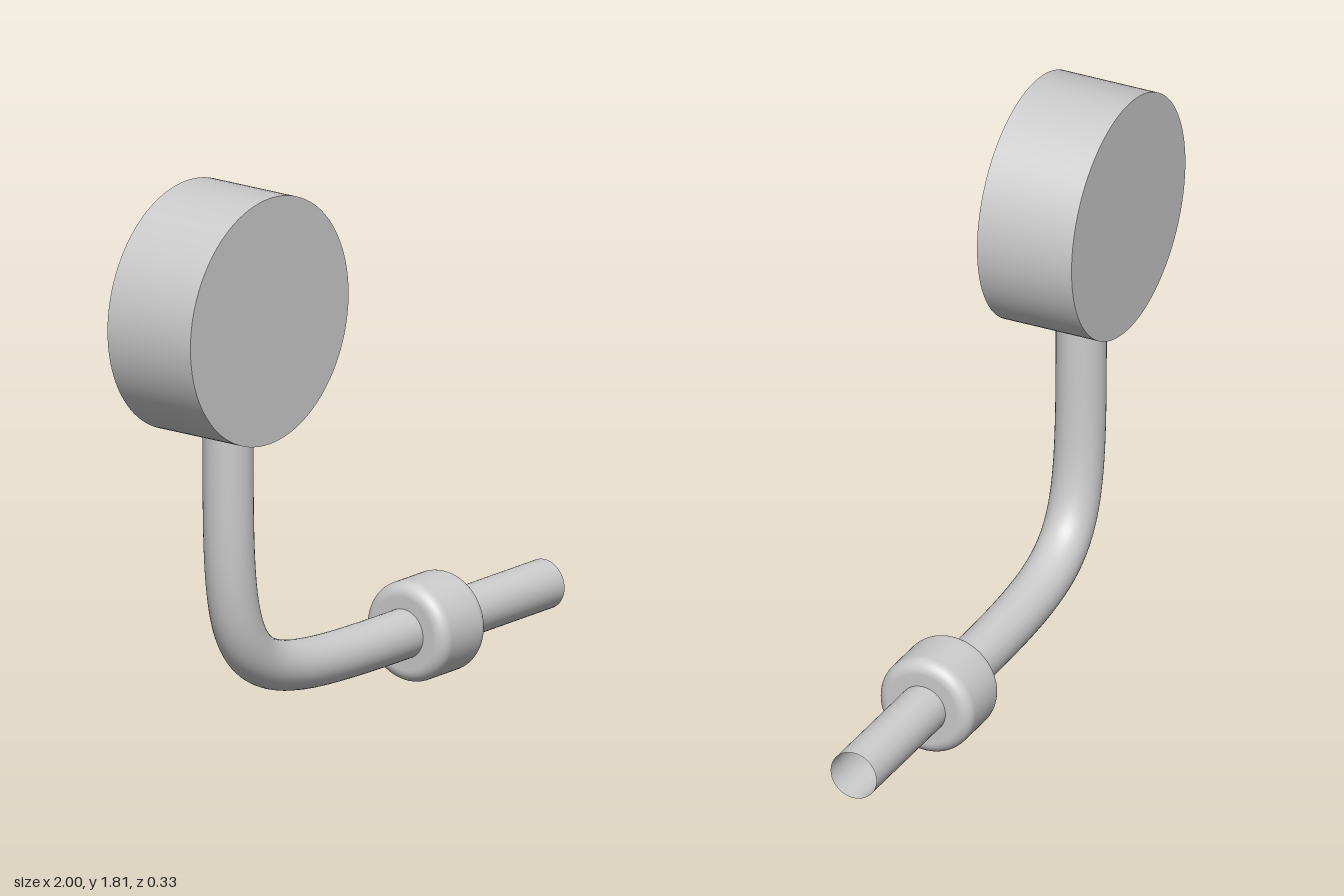
import * as THREE from 'three';

const PIPE_R = 0.08, AXIS_Y = 0.163;
const GAUGE = { x: -0.6, y: 1.412, r: 0.4, depth: 0.33 };

export function createModel() {
  const model = new THREE.Group();
  const grey = new THREE.MeshStandardMaterial({ color: 0xcccccc });
  const thin = new THREE.MeshStandardMaterial({ color: 0xcccccc, side: THREE.DoubleSide });

  const add = (name, geometry, material, x, y, z = 0) => {
    const mesh = new THREE.Mesh(geometry, material);
    mesh.name = name;
    mesh.position.set(x, y, z);
    model.add(mesh);
    return mesh;
  };

  // Round gauge housing, facing forward, with a flush dial
  const housing = new THREE.CylinderGeometry(GAUGE.r, GAUGE.r, GAUGE.depth, 96);
  housing.rotateX(Math.PI / 2);
  add('gaugeHousing', housing, grey, GAUGE.x, GAUGE.y);
  add('gaugeDial', new THREE.CircleGeometry(0.36, 64), grey, GAUGE.x, GAUGE.y, GAUGE.depth / 2 + 0.0005);

  // Pipe bending from the gauge down to the fitting
  const bend = new THREE.CubicBezierCurve3(
    new THREE.Vector3(GAUGE.x, 1.025, 0),
    new THREE.Vector3(GAUGE.x, AXIS_Y, 0),
    new THREE.Vector3(GAUGE.x, AXIS_Y, 0),
    new THREE.Vector3(0.4, AXIS_Y, 0)
  );
  add('bentPipe', new THREE.TubeGeometry(bend, 96, PIPE_R, 40), thin, 0, 0);

  // Straight open-ended outlet pipe
  const outlet = new THREE.CylinderGeometry(PIPE_R, PIPE_R, 0.6, 40, 1, true);
  outlet.rotateZ(-Math.PI / 2);
  add('outletPipe', outlet, thin, 0.7, AXIS_Y);

  // Coupling nut with rounded rims, turned around the pipe axis
  const r = 0.162, half = 0.115, round = 0.042;
  const profile = new THREE.Path();
  profile.moveTo(0, -half);
  profile.lineTo(r - round, -half);
  profile.absarc(r - round, -half + round, round, -Math.PI / 2, 0, false);
  profile.lineTo(r, half - round);
  profile.absarc(r - round, half - round, round, 0, Math.PI / 2, false);
  profile.lineTo(0, half);
  const nut = new THREE.LatheGeometry(profile.getPoints(10), 64);
  nut.rotateZ(-Math.PI / 2);
  add('couplingNut', nut, grey, 0.4, AXIS_Y);

  return model;
}
